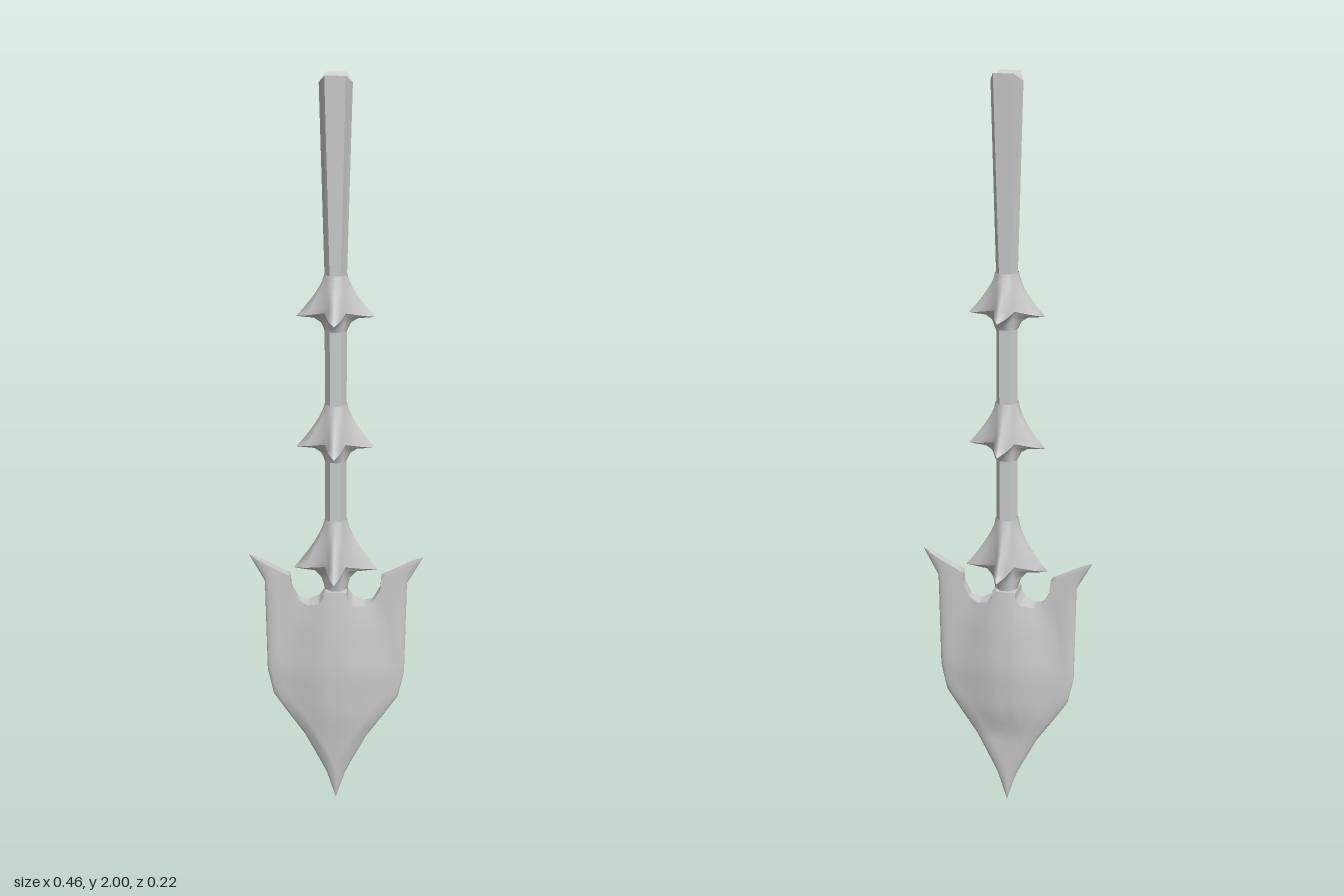
import * as THREE from 'three';

const material = new THREE.MeshStandardMaterial({ color: 0xcccccc, side: THREE.DoubleSide });
const facetMaterial = new THREE.MeshStandardMaterial({ color: 0xcccccc, flatShading: true, side: THREE.DoubleSide });

function addMesh(group, name, geometry, mat = material) {
  const mesh = new THREE.Mesh(geometry, mat);
  mesh.name = name;
  group.add(mesh);
  return mesh;
}

// Skin a grid of points: rows[j][i] = [x, y, z]
function skin(rows, flip = false) {
  const n = rows[0].length, index = [];
  for (let j = 0; j < rows.length - 1; j++) {
    for (let i = 0; i < n - 1; i++) {
      const a = j * n + i, b = a + 1, c = a + n, d = c + 1;
      if (flip) index.push(a, c, b, b, c, d);
      else index.push(a, b, c, b, d, c);
    }
  }
  const g = new THREE.BufferGeometry();
  g.setAttribute('position', new THREE.Float32BufferAttribute(rows.flat(2), 3));
  g.setIndex(index);
  g.computeVertexNormals();
  return g;
}

// Piecewise linear lookup in [[key, value], ...]
function lookup(table, k) {
  if (k <= table[0][0]) return table[0][1];
  for (let i = 1; i < table.length; i++) {
    const [k0, v0] = table[i - 1], [k1, v1] = table[i];
    if (k <= k1) return v0 + (v1 - v0) * (k - k0) / (k1 - k0);
  }
  return table[table.length - 1][1];
}

// Half outlines of the blade, paired point by point
const UPPER = [[0, .65], [.03, .65], [.032, .63], [.045, .613], [.075, .604], [.1, .615], [.119, .65], [.122, .685], [.175, .712], [.232, .742]];
const LOWER = [[0, 0], [.012, .04], [.025, .08], [.04, .112], [.085, .2], [.13, .265], [.17, .325], [.186, .4], [.19, .665], [.232, .742]];
// Height of the swelling along the spine
const SWELL_FRONT = [[.03, 0], [.12, .006], [.2, .014], [.28, .025], [.42, .034], [.54, .032], [.65, .025]];
const SWELL_BACK = [[.1, 0], [.21, .003], [.29, .023], [.42, .034], [.54, .032], [.65, .025]];

function edgeDistance(x, y) {
  let best = 1;
  for (let i = 1; i < LOWER.length; i++) {
    const [ax, ay] = LOWER[i - 1], dx = LOWER[i][0] - ax, dy = LOWER[i][1] - ay;
    const t = THREE.MathUtils.clamp(((x - ax) * dx + (y - ay) * dy) / (dx * dx + dy * dy), 0, 1);
    best = Math.min(best, Math.hypot(x - ax - t * dx, y - ay - t * dy));
  }
  return best;
}

function bladeDepth(x, y, swell) {
  const ax = Math.abs(x), rim = Math.min(1, edgeDistance(ax, y) / .035);
  const width = lookup([[.1, .09], [.4, .18], [.55, .14], [.65, .09]], y);
  const s = 1 - THREE.MathUtils.smoothstep(ax, .012, width);
  return .013 * Math.sqrt(rim * (2 - rim)) + lookup(swell, y) * s * Math.min(1, rim * 1.2);
}

function buildBlade() {
  const blade = new THREE.Group();
  blade.name = 'blade';
  const SUB = 3, ROWS = 24, last = (UPPER.length - 1) * SUB;
  const at = (curve, k) => {
    const i = Math.min(Math.floor(k / SUB), curve.length - 2), f = k / SUB - i;
    return curve[i].map((v, c) => v + (curve[i + 1][c] - v) * f);
  };
  const face = (swell, sign) => {
    const rows = [];
    for (let j = 0; j <= ROWS; j++) {
      const v = Math.pow(j / ROWS, 1.6), row = [];
      for (let k = -last; k <= last; k++) {
        const lo = at(LOWER, Math.abs(k)), up = at(UPPER, Math.abs(k));
        const x = Math.sign(k) * (lo[0] + (up[0] - lo[0]) * v), y = lo[1] + (up[1] - lo[1]) * v;
        row.push([x, y, sign * bladeDepth(x, y, swell)]);
      }
      rows.push(row);
    }
    return rows;
  };
  const front = face(SWELL_FRONT, 1), back = face(SWELL_BACK, -1);
  addMesh(blade, 'bladeFront', skin(front));
  addMesh(blade, 'bladeBack', skin(back, true));
  // Wall along the notched upper edge
  addMesh(blade, 'bladeUpperEdge', skin([front[ROWS], back[ROWS]]));
  return blade;
}

// Four-finned barbed collar: star cross-sections flaring downwards
function buildCollar(top, height, reach, tail) {
  const ring = (r, valley, half, y, lift) => {
    const pts = [];
    for (let q = 0; q < 4; q++) {
      const c = Math.cos(q * Math.PI / 2), s = Math.sin(q * Math.PI / 2);
      const shoulder = valley + (r - valley) * .55, d = valley * .72;
      for (const [u, w, dy] of [[r, 0, 0], [shoulder, half, lift * .4], [d, d, lift]]) {
        pts.push([u * c - w * s, y + dy, -(u * s + w * c)]);
        if (w === d) pts.push([-shoulder * s + half * c, y + lift * .4, -(shoulder * c + half * s)]);
      }
    }
    pts.push(pts[0]);
    return pts;
  };
  const outer = [];
  for (let j = 0; j <= 6; j++) {
    const t = j / 6;
    outer.push(ring(.028 + (reach - .028) * Math.pow(t, 1.4), .027 + .01 * t, .013 + .002 * t, top - height * t, .015 * t));
  }
  const base = top - height;
  const under = [
    outer[6],
    ring(.055, .033, .013, base - tail * .12, .01),
    ring(.038, .03, .012, base - tail * .45, .004),
    ring(.028, .027, .012, base - tail, 0)
  ];
  const collar = new THREE.Group();
  collar.name = 'barbedCollar';
  addMesh(collar, 'fins', skin(outer, true));
  addMesh(collar, 'finUnderside', skin(under, true));
  return collar;
}

export function createModel() {
  const model = new THREE.Group();
  model.name = 'spear';

  // Six-sided shaft
  const shaft = new THREE.CylinderGeometry(.028, .028, .9, 6, 1, true, Math.PI / 2);
  addMesh(model, 'shaft', shaft.translate(0, 1.05, 0), facetMaterial);

  // Flared grip with a V-shaped end
  const grip = new THREE.CylinderGeometry(.041, .028, .5, 6, 1, false, Math.PI / 2);
  grip.translate(0, 1.75, 0);
  const p = grip.attributes.position;
  for (let i = 0; i < p.count; i++) {
    if (p.getY(i) < 1.9) continue;
    if (Math.abs(p.getZ(i)) < .001) p.setY(i, 1.98);
    else p.setX(i, p.getX(i) * 1.25);
  }
  addMesh(model, 'grip', grip, facetMaterial);

  // Collars: top, height, reach, tail
  for (const c of [[1.51, .11, .1, .035], [1.17, .12, .102, .035], [.85, .145, .112, .06]]) {
    model.add(buildCollar(...c));
  }

  model.add(buildBlade());
  return model;
}
